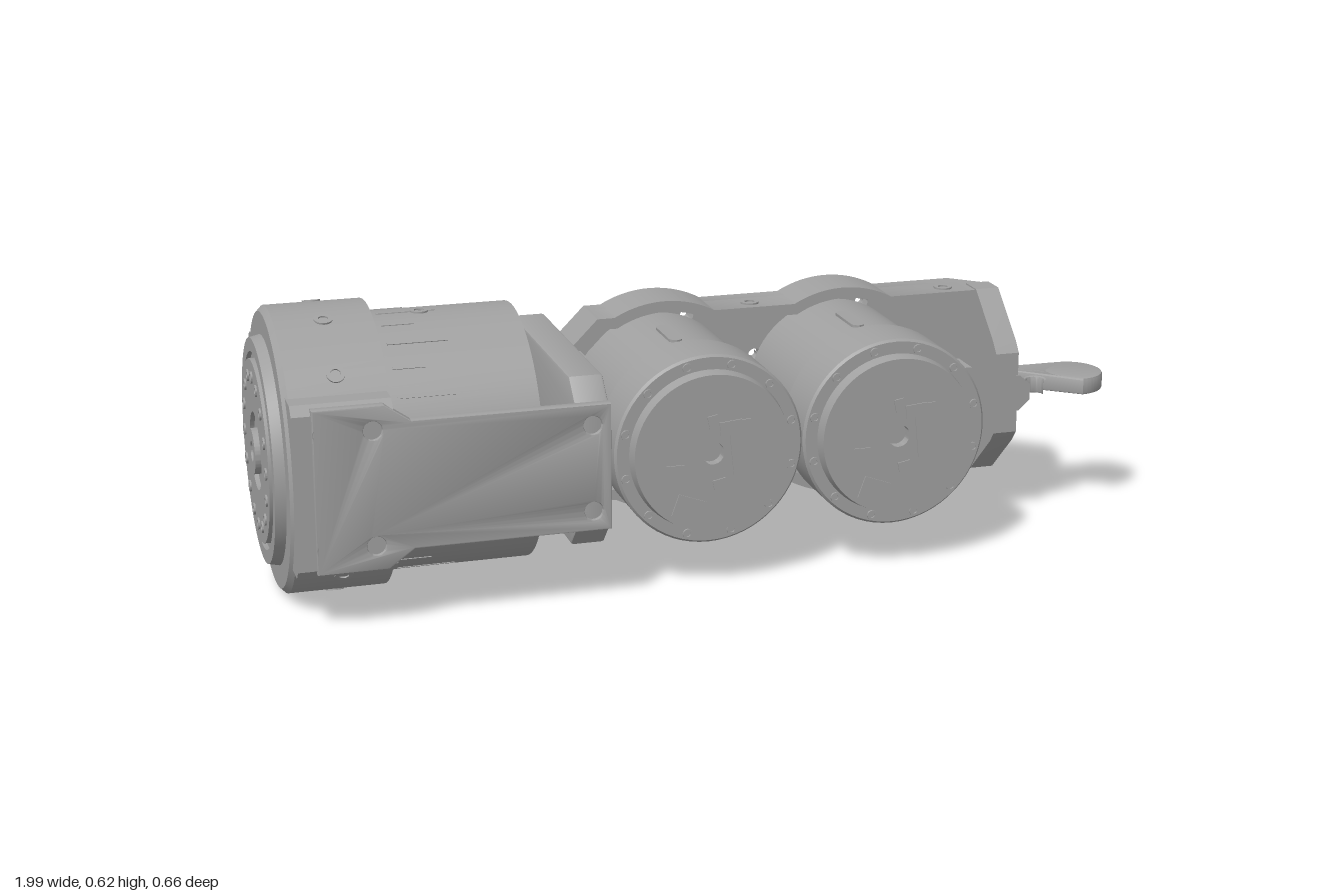
import * as THREE from 'three';
import { toCreasedNormals } from 'three/addons/utils/BufferGeometryUtils.js';

const CY = 0.315;                 // height of every motor axis
const MOTORS = [-0.053, 0.373];   // x of the two joint motors
const metal = new THREE.MeshStandardMaterial({ color: 0xa0a0a0 });
metal.name = 'grey metal';

function part(parent, name, geo) {
  const m = new THREE.Mesh(toCreasedNormals(geo, 0.6), metal);
  m.name = name;
  parent.add(m);
  return m;
}
const poly = pts => new THREE.Shape(pts.map(p => new THREE.Vector2(...p)));
const circle = (x, y, r) => new THREE.Path().absarc(x, y, r, 0, Math.PI * 2, true);
const lathe = (pts, seg = 64) => new THREE.LatheGeometry(pts.map(p => new THREE.Vector2(...p)), seg);

// Extrudes from z = a to z = b, with an optional bevel inside those limits
function slab(shape, a, b, bevel = 0) {
  return new THREE.ExtrudeGeometry(shape, {
    depth: b - a - 2 * bevel, bevelEnabled: bevel > 0, bevelSize: bevel, bevelOffset: -bevel,
    bevelThickness: bevel, bevelSegments: 2, curveSegments: 24
  }).translate(0, 0, a + bevel);
}
const alongX = geo => geo.rotateY(Math.PI / 2);    // shape x becomes -z
const alongY = geo => geo.rotateX(-Math.PI / 2);   // shape y becomes -z

function chamferedRect(w, h, cx, cy, c) {
  const x = w / 2, y = h / 2;
  return poly([[-x + c, -y], [x - c, -y], [x, -y + c], [x, y - c], [x - c, y], [-x + c, y], [-x, y - c], [-x, -y + c]]
    .map(p => [p[0] + cx, p[1] + cy]));
}

// Socket-head screw pointing along +y
const screw = (r, h) => lathe([[r, 0], [r, h], [r * 0.55, h], [r * 0.55, h * 0.3], [0, h * 0.3]], 16);

// Arm outline: straight edges with a round bulge at each motor
function armOutline(inset, xEnd) {
  const R = 0.245 - inset, h = 0.215 - inset, a = Math.asin(h / R), left = -0.28 + inset;
  const s = new THREE.Shape();
  s.moveTo(left, CY - h + 0.07);
  s.lineTo(left + 0.07, CY - h);
  for (const x of MOTORS) s.absarc(x, CY, R, Math.PI + a, 2 * Math.PI - a, false);
  s.lineTo(xEnd, CY - h);
  s.lineTo(xEnd, CY + h);
  for (const x of [...MOTORS].reverse()) s.absarc(x, CY, R, a, Math.PI - a, false);
  s.lineTo(left + 0.07, CY + h);
  s.lineTo(left, CY + h - 0.07);
  s.closePath();
  return s;
}

function shoulderMotor() {
  const g = new THREE.Group();
  g.name = 'shoulderMotor';
  // Output disc, collar and can in one turned profile
  part(g, 'motorBody', lathe([
    [0, -0.975], [0.022, -0.975], [0.022, -0.998], [0.05, -0.998], [0.05, -0.98], [0.085, -0.98], [0.085, -0.99],
    [0.2, -0.99], [0.2, -0.975], [0.215, -0.975], [0.215, -0.985], [0.245, -0.985], [0.25, -0.962],
    [0.3, -0.962], [0.312, -0.95], [0.312, -0.74], [0.283, -0.74], [0.283, -0.42], [0.2, -0.42], [0.2, -0.43], [0, -0.43]
  ], 72).rotateZ(-Math.PI / 2).translate(0, CY, 0));
  // Screws round the collar
  for (const deg of [-45, -15, 15, 45, 135, 165, 195, 225]) {
    part(g, 'collarScrew', screw(0.02, 0.008).translate(0, 0.307, 0)
      .rotateX(deg * Math.PI / 180).translate(-0.845, CY, 0));
  }
  // Screws on the output disc
  for (let i = 0; i < 16; i++) {
    const a = i * Math.PI / 8;
    part(g, 'discScrew', screw(0.013, 0.005).rotateZ(Math.PI / 2)
      .translate(-0.989, CY + 0.165 * Math.cos(a), 0.165 * Math.sin(a)));
  }
  // Scale marks on the can
  for (const side of [0, Math.PI]) {
    for (let i = 0; i < 9; i++) {
      const len = i % 2 ? 0.07 : 0.13;
      part(g, 'scaleMark', new THREE.BoxGeometry(len, 0.005, 0.006).translate(-0.72 + len / 2, 0.282, 0)
        .rotateX(side + (i - 4) * 0.24).translate(0, CY, 0));
    }
    part(g, 'canScrew', screw(0.02, 0.006).translate(-0.625, 0.28, 0).rotateX(side).translate(0, CY, 0));
  }
  return g;
}

function yoke() {
  const g = new THREE.Group();
  g.name = 'yoke';
  // Square clamp round the collar and the cross plate joining both arms
  part(g, 'clampBlock', alongX(slab(chamferedRect(0.64, 0.375, 0, 0.3125, 0.02), -0.955, -0.745)));
  part(g, 'crossPlate', alongX(slab(chamferedRect(0.64, 0.375, 0, 0.3125, 0.06), -0.36, -0.285, 0.006)));
  part(g, 'stopTab', new THREE.BoxGeometry(0.03, 0.07, 0.13).translate(-0.37, 0.42, -0.2));
  // Side plates with countersunk screws
  const holes = [[-0.89, 0.44], [-0.79, 0.44], [-0.89, 0.19], [-0.79, 0.19], [-0.325, 0.41], [-0.325, 0.22]];
  for (const s of [1, -1]) {
    const shape = poly([[-0.915, 0.137], [-0.765, 0.137], [-0.71, 0.176], [-0.285, 0.176],
      [-0.285, 0.455], [-0.71, 0.455], [-0.765, 0.493], [-0.915, 0.493]]);
    holes.forEach(p => shape.holes.push(circle(p[0], p[1], 0.02)));
    const plate = slab(shape, -0.0145, 0.0145, 0.004);
    part(g, 'sidePlate', plate.translate(0, 0, s * 0.315));
    for (const [x, y] of holes) {
      part(g, 'plateScrew', screw(0.02, 0.018).rotateX(s * Math.PI / 2).translate(x, y, s * 0.302));
    }
  }
  return g;
}

function armFrame() {
  const g = new THREE.Group();
  g.name = 'armFrame';
  // Back wall with round openings and bolt holes
  const back = armOutline(0, 0.68);
  for (const cx of MOTORS) {
    back.holes.push(circle(cx, CY, 0.155));
    for (let i = 0; i < 8; i++) {
      const a = (i + 0.5) * Math.PI / 4, x = cx + 0.2 * Math.cos(a), y = CY + 0.2 * Math.sin(a);
      back.holes.push(circle(x, y, 0.016));
      part(g, 'frameBolt', screw(0.016, 0.025).rotateX(-Math.PI / 2).translate(x, y, -0.155));
    }
  }
  part(g, 'backWall', slab(back, -0.19, -0.15));
  // Rim
  const rim = armOutline(0, 0.715);
  rim.holes.push(armOutline(0.025, 0.7));
  part(g, 'rim', slab(rim, -0.151, -0.065));
  part(g, 'leftWall', alongX(slab(chamferedRect(0.19, 0.29, 0.095, CY, 0.02), -0.298, -0.25)));
  // Chamfered end and its flange
  part(g, 'endWedge', alongY(slab(poly([[0.66, 0.15], [0.70, 0.15], [0.70, 0.06], [0.755, 0.06],
    [0.755, 0.12], [0.68, 0.19], [0.66, 0.19]]), 0.1, 0.53)));
  part(g, 'endFlange', alongX(slab(poly([[-0.07, 0.22], [-0.05, 0.195], [0.06, 0.095], [0.121, 0.095],
    [0.121, 0.533], [0.06, 0.533], [-0.05, 0.435], [-0.07, 0.41]]), 0.7, 0.756)));
  for (const y of [0.295, 0.335]) {
    part(g, 'rib', new THREE.BoxGeometry(0.16, 0.012, 0.08).translate(0.63, y, -0.11));
  }
  // Edge screws, top and bottom
  for (const x of [0.16, 0.635]) {
    for (const s of [1, -1]) {
      part(g, 'edgeScrew', screw(0.021, 0.006).rotateX(s > 0 ? 0 : Math.PI)
        .translate(x, CY + s * 0.213, -0.105));
    }
  }
  // Eye lug
  const lug = new THREE.Shape();
  lug.moveTo(0.74, -0.075);
  lug.absarc(0.92, 0, 0.075, -Math.PI / 2, Math.PI / 2, false);
  lug.lineTo(0.74, 0.075);
  lug.closePath();
  lug.holes.push(circle(0.92, 0, 0.053), circle(0.81, -0.045, 0.02));
  part(g, 'eyeLug', alongY(slab(lug, 0.295, 0.336, 0.006)));
  part(g, 'lugRoot', slab(poly([[0.75, 0.272], [0.758, 0.272], [0.785, 0.297],
    [0.785, 0.334], [0.758, 0.357], [0.75, 0.357]]), -0.075, 0.075));
  return g;
}

function jointMotor(cx) {
  const g = new THREE.Group();
  g.name = 'jointMotor';
  // Can, collar and front cap
  part(g, 'motorBody', lathe([
    [0, -0.15], [0.197, -0.15], [0.197, 0.132], [0.212, 0.147], [0.212, 0.27], [0.207, 0.276], [0.18, 0.276],
    [0.175, 0.303], [0.025, 0.303], [0.025, 0.28], [0, 0.28]
  ]).rotateX(Math.PI / 2));
  // Output disc at the back
  part(g, 'outputDisc', lathe([
    [0, -0.16], [0.02, -0.16], [0.02, -0.185], [0.05, -0.185], [0.05, -0.175], [0.08, -0.175], [0.08, -0.185],
    [0.138, -0.185], [0.138, -0.17], [0.154, -0.17], [0.154, -0.15]
  ]).rotateX(Math.PI / 2));
  for (let i = 0; i < 6; i++) {
    const a = i * Math.PI / 3;
    part(g, 'outputPin', screw(0.015, i % 2 ? 0.006 : 0.028).rotateX(-Math.PI / 2)
      .translate(0.113 * Math.cos(a), 0.113 * Math.sin(a), -0.184));
  }
  // Collar screws
  for (let i = 0; i < 12; i++) {
    const a = (i + 0.5) * Math.PI / 6;
    part(g, 'collarScrew', screw(0.011, 0.006).rotateX(Math.PI / 2)
      .translate(0.193 * Math.cos(a), 0.193 * Math.sin(a), 0.275));
  }
  // Connector covers on the cap: x, y, width, height, tilt
  for (const [x, y, w, h, t] of [[0.065, 0.01, 0.05, 0.12, 0.1], [0.04, 0.055, 0.05, 0.03, 0.1], [-0.085, -0.04, 0.04, 0.04, 0],
    [-0.055, -0.12, 0.065, 0.05, -0.35], [0.015, -0.07, 0.03, 0.022, 0.2], [0, 0.07, 0.022, 0.03, 0.2]]) {
    part(g, 'connectorCover', new THREE.BoxGeometry(w, h, 0.006).rotateZ(t).translate(x, y, 0.303));
  }
  // Long vent plates above and below
  const slot = new THREE.Shape();
  slot.absarc(0, -0.085, 0.015, Math.PI, 2 * Math.PI, false);
  slot.absarc(0, 0.015, 0.015, 0, Math.PI, false);
  for (const s of [0, Math.PI]) {
    part(g, 'ventPlate', alongY(slab(slot, 0.192, 0.2)).rotateZ(s).translate(-0.02 * Math.cos(s), 0, 0));
  }
  g.position.set(cx, CY, 0);
  return g;
}

export function createModel() {
  const model = new THREE.Group();
  model.name = 'robotArmSegment';
  model.add(shoulderMotor(), yoke(), armFrame(), ...MOTORS.map(jointMotor));
  return model;
}
